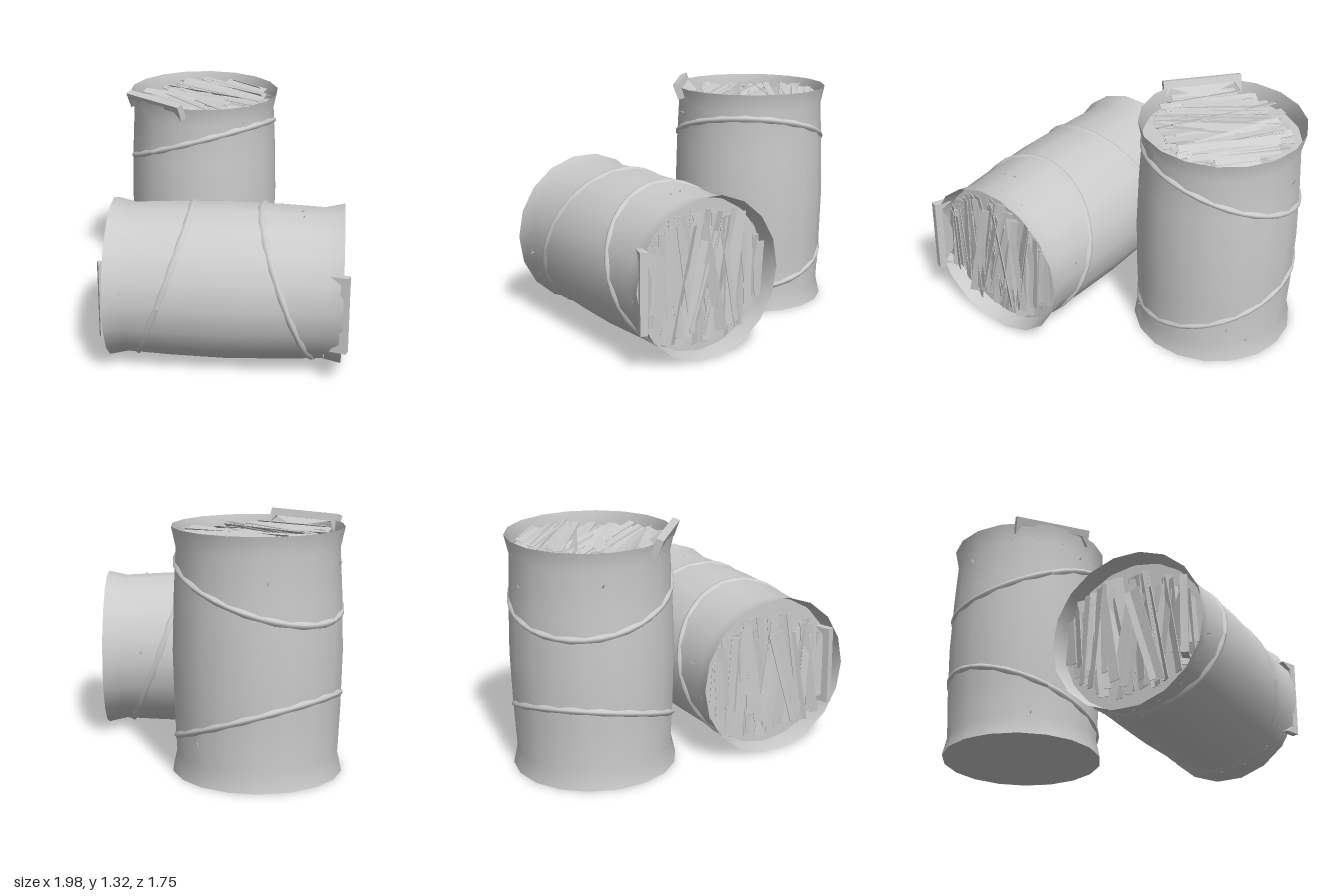
import * as THREE from 'three';

const SIDES = 18;
const HALF = 0.643; // half the bale length
const mat = new THREE.MeshStandardMaterial({ color: 0xcccccc, side: THREE.DoubleSide });

// seeded random numbers
function makeRandom(seed) {
  let s = seed;
  return () => (s = (s * 16807) % 2147483647) / 2147483647;
}

function add(parent, name, geometry) {
  const mesh = new THREE.Mesh(geometry, mat);
  mesh.name = name;
  parent.add(mesh);
  return mesh;
}

// radius of the wrapping: flared rims, slight bulge in the middle
const profile = [[0.447, -HALF], [0.424, -0.54], [0.436, -0.3], [0.444, 0], [0.436, 0.3], [0.424, 0.54], [0.447, HALF]];
function radiusAt(y) {
  for (let i = 1; i < profile.length; i++) {
    const [r0, y0] = profile[i - 1], [r1, y1] = profile[i];
    if (y <= y1) return r0 + (r1 - r0) * (y - y0) / (y1 - y0);
  }
  return 0.447;
}

// tilted strap that follows the wrapping
function strap(parent, centre, slope) {
  const n = SIDES * 2, width = 0.04;
  const geo = new THREE.CylinderGeometry(1, 1, 1, n, 3, true);
  const p = geo.attributes.position;
  for (let i = 0; i < p.count; i++) {
    const a = Math.atan2(p.getZ(i), p.getX(i));
    const v = p.getY(i);
    const y = centre + slope * 0.44 * Math.cos(a) + v * width;
    const r = radiusAt(y) + (Math.abs(v) > 0.4 ? -0.006 : 0.008);
    p.setXYZ(i, r * Math.cos(a), y, r * Math.sin(a));
  }
  geo.computeVertexNormals();
  add(parent, 'strap', geo);
}

// loose layer of crossing straw strips with one bent flap at the rim
function strawEnd(seed, flapShift) {
  const end = new THREE.Group();
  end.name = 'strawEnd';
  const rnd = makeRandom(seed);
  const backing = add(end, 'strawBacking', new THREE.CircleGeometry(0.422, SIDES));
  backing.rotation.x = -Math.PI / 2;
  backing.position.y = 0.55;

  const count = 46;
  for (let i = 0; i < count; i++) {
    const z = -0.385 + 0.77 * (i + 0.5) / count;
    const edge = Math.abs(z) / 0.4;
    const yaw = (rnd() - 0.5) * 0.75 * (1 - edge * 0.85);
    const chord = Math.sqrt(0.415 ** 2 - z * z);
    const half = chord * (0.6 + 0.3 * rnd());
    const shift = (rnd() - 0.5) * (chord - half);
    const strip = add(end, 'straw', new THREE.BoxGeometry(half * 2, 0.004, 0.035 + 0.03 * rnd()));
    strip.rotation.order = 'YXZ';
    strip.rotation.set((rnd() - 0.5) * 1.3, yaw, (rnd() - 0.5) * 0.05);
    strip.position.set(shift, 0.582 + 0.035 * rnd(), z * 0.95);
  }

  const outline = [[-0.215, 0.045], [0.225, 0.045], [0.225, -0.05], [0.185, 0.005], [-0.175, 0.005], [-0.21, -0.055]];
  const shape = new THREE.Shape(outline.map(([x, y]) => new THREE.Vector2(x, y)));
  const flap = add(end, 'strawFlap', new THREE.ExtrudeGeometry(shape, { depth: 0.04, bevelEnabled: false }));
  flap.position.set(0, 0.635, 0.385 + flapShift);
  flap.rotation.x = 0.35;
  // sloping tongue that joins the flap to the straw
  const tongueShape = new THREE.Shape([[-0.21, 0], [0.21, 0], [0.02, 0.1]].map(([x, y]) => new THREE.Vector2(x, y)));
  const tongue = add(end, 'strawTongue', new THREE.ShapeGeometry(tongueShape));
  tongue.position.set(0, 0.645, 0.4 + flapShift);
  tongue.rotation.x = -2.0;
  return end;
}

function bale(name, seed, openBottom) {
  const g = new THREE.Group();
  g.name = name;
  add(g, 'wrapping', new THREE.LatheGeometry(profile.map(([r, y]) => new THREE.Vector2(r, y)), SIDES));
  strap(g, 0.345, 0.36);
  strap(g, -0.35, -0.35);
  g.add(strawEnd(seed, 0));
  if (openBottom) {
    const lower = strawEnd(seed + 71, -0.07);
    lower.rotation.z = Math.PI;
    g.add(lower);
  } else {
    const base = add(g, 'base', new THREE.CircleGeometry(0.447, SIDES));
    base.rotation.set(Math.PI / 2, 0, Math.PI / 2);
    base.position.y = -HALF + 0.001;
  }
  // small stray stalks poking through the wrapping
  const rnd = makeRandom(seed + 5);
  for (let i = 0; i < 10; i++) {
    const a = rnd() * Math.PI * 2;
    const y = (i % 2 ? 1 : -1) * (0.4 + 0.15 * rnd());
    const r = radiusAt(y);
    const stalk = add(g, 'strayStalk', new THREE.ConeGeometry(0.008, 0.035, 3));
    stalk.position.set(r * Math.cos(a), y, r * Math.sin(a));
    stalk.rotation.set(0.5, -a, -0.9);
  }
  return g;
}

export function createModel() {
  const model = new THREE.Group();
  model.name = 'strawBales';

  const upright = bale('uprightBale', 17, false);
  upright.position.set(-0.545, 0.657, -0.43);

  // lying bale: its axis runs towards the back at an angle
  const lying = bale('lyingBale', 303, true);
  const axis = new THREE.Vector3(0.765, 0, -0.644).normalize();
  const down = new THREE.Vector3(0, -1, 0);
  const basis = new THREE.Matrix4().makeBasis(down, axis, down.clone().cross(axis));
  lying.quaternion.setFromRotationMatrix(basis);
  lying.position.set(0.197, 0.455, 0.12);

  model.add(upright, lying);
  return model;
}
